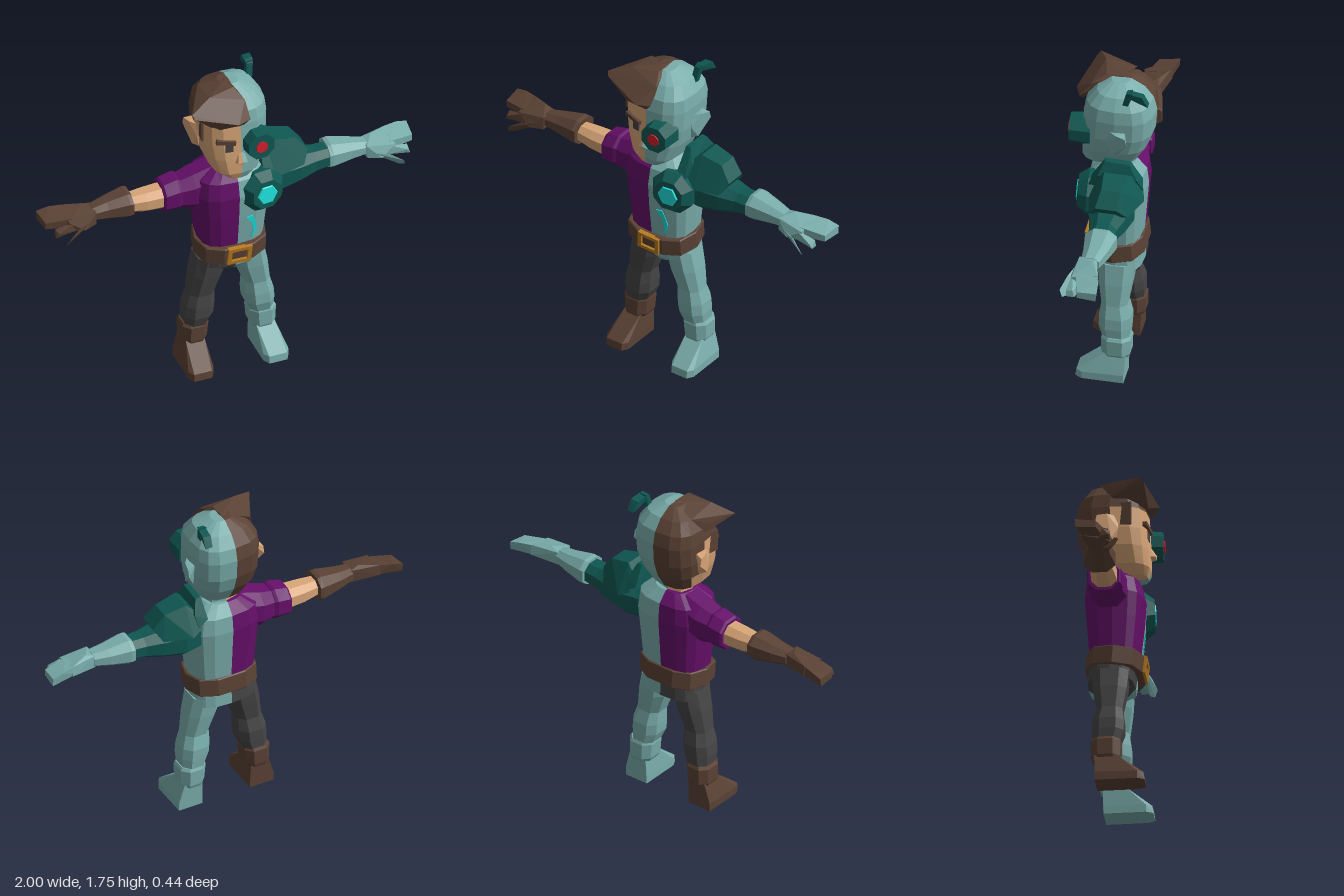
import * as THREE from 'three';
import { ConvexGeometry } from 'three/addons/geometries/ConvexGeometry.js';

const mat = (name, color) => {
  const m = new THREE.MeshStandardMaterial({ color });
  m.name = name;
  return m;
};

export function createModel() {
  const root = new THREE.Group();
  const teal = mat('pale teal', 0x7aaeac), dark = mat('dark teal', 0x0f5752);
  const purple = mat('purple', 0x650f69), skin = mat('skin', 0xd9a678);
  const brown = mat('brown', 0x5b4235), grey = mat('charcoal', 0x454545);
  const gold = mat('gold', 0xb97b22), cyan = mat('cyan', 0x1fe3df), red = mat('red', 0xd6202c);

  const add = (name, geo, material, parent = root) => {
    const flat = geo.index ? geo.toNonIndexed() : geo;
    flat.computeVertexNormals();
    const mesh = new THREE.Mesh(flat, material);
    mesh.name = name;
    parent.add(mesh);
    return mesh;
  };
  const hull = (name, pts, material, s = 1) =>
    add(name, new ConvexGeometry(pts.map(p => new THREE.Vector3(s * p[0], p[1], p[2]))), material);
  const box = (name, size, pos, material, rot = [0, 0, 0]) => {
    const m = add(name, new THREE.BoxGeometry(...size), material);
    m.position.set(...pos);
    m.rotation.set(...rot);
    return m;
  };

  // Skin between rings of points, with end caps; paint picks a material index per face
  function loft(name, rings, material, { closed = true, flip = false, paint } = {}) {
    const pos = [], geo = new THREE.BufferGeometry();
    const faces = [[], []];
    const tri = (a, b, c, k) => faces[k].push(...(flip ? [a, c, b] : [a, b, c]));
    const n = rings[0].length;
    for (let r = 0; r < rings.length - 1; r++) {
      for (let i = 0; i < (closed ? n : n - 1); i++) {
        const j = (i + 1) % n, a = rings[r][i], b = rings[r][j], c = rings[r + 1][j], d = rings[r + 1][i];
        const k = paint ? paint((a[1] + d[1]) / 2, (a[2] + b[2] + c[2] + d[2]) / 4) : 0;
        tri(a, b, c, k);
        tri(a, c, d, k);
      }
    }
    const lo = rings[0], hi = rings[rings.length - 1];
    for (let i = 1; i < n - 1; i++) {
      tri(lo[0], lo[i + 1], lo[i], 0);
      tri(hi[0], hi[i], hi[i + 1], paint ? 1 : 0);
    }
    faces.forEach((f, k) => {
      if (paint) geo.addGroup(pos.length / 3, f.length, k);
      f.forEach(p => pos.push(...p));
    });
    geo.setAttribute('position', new THREE.Float32BufferAttribute(pos, 3));
    return add(name, geo, material);
  }
  const pw = (v, e) => Math.sign(v) * Math.abs(v) ** e;

  // Half of a body, rows [y, half width, front z, back z]
  const half = (name, rows, s, material, paint, n = 8) => loft(name, rows.map(([y, w, f, b]) =>
    Array.from({ length: n + 1 }, (_, i) => {
      const t = i / n * Math.PI;
      return [s * w * pw(Math.sin(t), 0.7), y, (f + b) / 2 + (f - b) / 2 * pw(Math.cos(t), 0.7)];
    })), material, { closed: false, flip: s < 0, paint });

  // Upright limb, rows [y, centre x, centre z, half x, half z]
  const limbY = (name, rows, s, material, n = 8) => loft(name, rows.map(([y, cx, cz, hx, hz]) =>
    Array.from({ length: n }, (_, i) => {
      const t = (i + 0.5) / n * Math.PI * 2;
      return [s * (cx + hx * pw(Math.sin(t), 0.75)), y, cz + hz * pw(Math.cos(t), 0.75)];
    })), material, { flip: s < 0 });

  // Sideways limb, rows [x, centre y, centre z, half y, half z]
  const limbX = (name, rows, s, material, n = 8) => loft(name, rows.map(([x, cy, cz, hy, hz]) =>
    Array.from({ length: n }, (_, i) => {
      const t = (i + 0.5) / n * Math.PI * 2;
      return [s * x, cy + hy * pw(Math.cos(t), 0.85), cz + hz * pw(Math.sin(t), 0.85)];
    })), material, { flip: s < 0 });

  const headRows = [[1.22, .07, .15, -.03], [1.26, .125, .165, -.12], [1.35, .16, .165, -.175], [1.44, .178, .16, -.205],
    [1.55, .182, .155, -.212], [1.62, .174, .14, -.195], [1.68, .135, .09, -.15], [1.72, .05, .02, -.08]];
  const torsoRows = [[.7, .17, .1, -.15], [.78, .172, .11, -.148], [.95, .188, .13, -.16], [1.08, .2, .14, -.17],
    [1.17, .185, .12, -.16], [1.225, .1, .06, -.11]];
  const hipRows = [[.57, .05, .04, -.08], [.62, .175, .085, -.155], [.72, .172, .1, -.15]];
  const neckRows = [[1.17, .1, .075, -.1], [1.27, .085, .06, -.09]];

  // Parts shared by the human (-x) and machine (+x) halves
  for (const s of [-1, 1]) {
    const human = s < 0, pick = (a, b) => (human ? a : b);
    half('headHalf', headRows, s, human ? [skin, brown] : teal,
      human ? (y, z) => (y > 1.57 || (z < -0.05 && y > 1.28) ? 1 : 0) : undefined);
    half('neckHalf', neckRows, s, pick(skin, teal), undefined, 4);
    half('torsoHalf', torsoRows, s, pick(purple, teal));
    half('hipHalf', hipRows, s, pick(grey, teal));
    hull('ear', [[.165, 1.36, .0], [.165, 1.36, -.05], [.165, 1.5, .01], [.165, 1.5, -.08], [.195, 1.37, -.02],
      [.215, 1.49, -.09], [.215, 1.45, -.1], [.205, 1.5, -.04], [.18, 1.43, .015]], pick(skin, teal), s);

    // Leg, boot cuff and foot
    limbY('leg', [[.22, .18, -.045, .06, .07], [.3, .165, -.035, .08, .085], [.36, .16, -.035, .08, .085],
      [.43, .15, -.03, .07, .07], [.55, .12, -.03, .085, .09], [.66, .1, -.03, .082, .1]], s, pick(grey, teal));
    limbY('bootCuff', [[.13, .185, -.045, .058, .07], [.15, .185, -.045, .07, .078], [.235, .182, -.045, .075, .08],
      [.25, .18, -.045, .068, .072]], s, pick(brown, teal));
    const foot = [];
    for (const x of [.135, .27]) {
      foot.push([x, 0, -.095], [x, .045, -.095], [x, 0, .12], [x, .04, .12], [x < .2 ? .155 : .25, 0, .155], [x < .2 ? .155 : .25, .04, .15],
        [x < .2 ? .14 : .24, .15, -.1], [x < .2 ? .14 : .24, .15, .01], [x < .2 ? .14 : .26, .075, .05]);
    }
    hull('foot', foot, pick(brown, teal), s);

    // Gauntlet and hand
    const glove = pick(brown, teal);
    limbX('gauntlet', [[.53, 1.09, -.04, .07, .085], [.55, 1.09, -.04, .076, .086], [.66, 1.088, -.035, .055, .065],
      [.74, 1.088, -.025, .04, .05]], s, glove);
    hull('palm', [[.73, 1.05, -.06], [.73, 1.12, -.06], [.73, 1.05, .03], [.73, 1.12, .03], [.78, 1.135, -.05], [.8, 1.05, .06],
      [.88, 1.125, -.095], [.88, 1.07, -.1], [.88, 1.04, .03], [.88, 1.1, .04]], glove, s);
    hull('fingers', [[.86, 1.125, -.09], [.86, 1.07, -.09], [.86, 1.06, .02], [.86, 1.11, .02], [.94, 1.12, -.11],
      [1, 1.105, -.115], [1, 1.06, -.11], [.99, 1.095, -.01], [.99, 1.06, -.01]], glove, s);
    hull('lowerFinger', [[.85, 1.05, -.02], [.85, 1.1, .04], [.85, 1.05, .045], [.95, 1.07, .02], [.955, 1.035, .05],
      [.95, 1.03, .01], [.94, 1.06, .055]], glove, s);
    hull('thumb', [[.76, 1.05, .0], [.76, 1.08, .045], [.8, 1.03, .01], [.84, 1.07, .07], [.84, 1.02, .05], [.905, 1.03, .095],
      [.915, .995, .08], [.89, .99, .06]], glove, s);
  }

  // Human arm
  limbX('sleeve', [[.1, 1.12, -.03, .11, .1], [.2, 1.09, -.035, .11, .1], [.29, 1.085, -.035, .085, .08]], -1, purple);
  limbX('sleeveCuff', [[.27, 1.09, -.038, .09, .088], [.285, 1.09, -.038, .097, .095], [.355, 1.082, -.038, .088, .09],
    [.365, 1.08, -.038, .08, .082]], -1, purple);
  limbX('forearm', [[.35, 1.08, -.035, .065, .07], [.45, 1.08, -.035, .06, .065], [.55, 1.085, -.035, .048, .05]], -1, skin);

  // Machine arm, shoulder armour and collar
  limbX('machineArm', [[.16, 1.07, -.035, .1, .1], [.25, 1.07, -.035, .105, .12], [.37, 1.075, -.035, .085, .1],
    [.46, 1.08, -.035, .065, .075], [.54, 1.085, -.035, .06, .07]], 1, dark);
  hull('shoulderArmour', [[.19, 1.25, .03], [.19, 1.25, -.13], [.24, 1.29, .01], [.24, 1.29, -.11], [.355, 1.265, .0],
    [.355, 1.265, -.1], [.415, 1.19, .02], [.415, 1.19, -.09], [.38, 1.13, .06], [.38, 1.13, -.14],
    [.24, 1.12, .09], [.24, 1.14, -.195], [.18, 1.15, .08], [.18, 1.17, -.18]], dark);
  hull('collarPlate', [[.145, 1.2, .09], [.145, 1.21, -.17], [.2, 1.17, .1], [.2, 1.18, -.18], [.15, 1.315, .02],
    [.18, 1.315, .02], [.155, 1.315, -.11], [.185, 1.31, -.11], [.21, 1.24, .05], [.21, 1.24, -.15]], dark);

  // Chest reactor
  const reactor = new THREE.Group();
  reactor.name = 'chestReactor';
  reactor.position.set(.135, 1.08, .125);
  reactor.rotation.set(-.05, .12, 0);
  root.add(reactor);
  const disc = (name, r1, r2, h, n, z, m, parent) => {
    const geo = new THREE.CylinderGeometry(r1, r2, h, n);
    geo.rotateY(Math.PI / n);
    geo.rotateX(Math.PI / 2);
    add(name, geo, m, parent).position.z = z;
  };
  disc('reactorBody', .085, .122, .05, 8, .015, dark, reactor);
  disc('reactorBase', .122, .115, .08, 8, -.05, dark, reactor);
  disc('reactorCore', .052, .058, .008, 6, .043, cyan, reactor);

  // Glowing crack on the belly
  const crack = new THREE.Shape([[-.03, .07], [.005, .075], [.02, .03], [.03, -.015], [.012, -.07], [-.002, -.075],
    [.01, -.02], [-.005, .03]].map(p => new THREE.Vector2(...p)));
  const glow = add('bellyGlow', new THREE.ExtrudeGeometry(crack, { depth: .008, bevelEnabled: false }), cyan);
  glow.position.set(.072, .87, .111);
  glow.rotation.set(.12, .12, 0);

  // Belt and buckle
  const belt = limbY('belt', [[-.05, 0, -.015, .185, .145], [-.045, 0, -.015, .19, .15], [.045, 0, -.015, .19, .15],
    [.05, 0, -.015, .185, .145]], 1, brown, 10);
  belt.position.y = .73;
  belt.rotation.x = .09;
  const frame = new THREE.Shape([[-.068, -.045], [.06, -.05], [.068, .045], [-.06, .05]].map(p => new THREE.Vector2(...p)));
  frame.holes.push(new THREE.Path([[-.045, -.028], [-.04, .03], [.045, .028], [.04, -.03]].map(p => new THREE.Vector2(...p))));
  const buckle = add('buckle', new THREE.ExtrudeGeometry(frame, { depth: .025, bevelEnabled: false }), gold);
  buckle.position.set(0, .723, .118);
  buckle.rotation.x = .09;

  // Swept hair and sideburn
  hull('quiff', [[-.255, 1.67, .13], [-.24, 1.65, .15], [-.14, 1.715, .08], [0, 1.722, .05], [.035, 1.68, .12], [.042, 1.6, .18],
    [.01, 1.565, .17], [-.115, 1.56, .16], [-.17, 1.6, .13], [-.03, 1.6, .208], [-.18, 1.6, -.02], [0, 1.725, -.04],
    [-.14, 1.69, -.08], [-.19, 1.65, .0]], brown);
  box('sideburn', [.012, .12, .07], [-.172, 1.51, .045], brown, [0, -.18, 0]);

  // Face
  box('eyebrow', [.1, .022, .022], [-.08, 1.465, .152], brown, [0, -.22, -.16]);
  box('eye', [.04, .045, .008], [-.062, 1.425, .154], grey, [0, -.15, 0]);
  for (const s of [-1, 1]) {
    hull('noseHalf', [[0, 1.41, .15], [.014, 1.4, .15], [0, 1.345, .192], [.025, 1.335, .185], [.035, 1.33, .15],
      [0, 1.31, .15], [0, 1.325, .19]], s < 0 ? skin : teal, s);
  }

  // Machine eye
  const eye = new THREE.Group();
  eye.name = 'machineEye';
  eye.position.set(.085, 1.435, .155);
  eye.rotation.y = .06;
  root.add(eye);
  disc('eyeHousing', .076, .086, .11, 8, .005, dark, eye);
  disc('eyeLens', .033, .033, .008, 8, .063, red, eye);

  // Bent antenna
  hull('antennaStem', [[.115, 1.64, -.06], [.145, 1.64, -.06], [.115, 1.64, -.09], [.145, 1.64, -.09], [.125, 1.735, -.085],
    [.16, 1.735, -.085], [.125, 1.745, -.115], [.165, 1.748, -.115], [.13, 1.71, -.115]], dark);
  hull('antennaTip', [[.125, 1.74, -.09], [.165, 1.745, -.09], [.13, 1.705, -.11], [.16, 1.705, -.11], [.13, 1.73, -.17],
    [.175, 1.735, -.17], [.135, 1.68, -.2], [.175, 1.68, -.2], [.135, 1.69, -.17], [.17, 1.69, -.17]], dark);

  return root;
}
